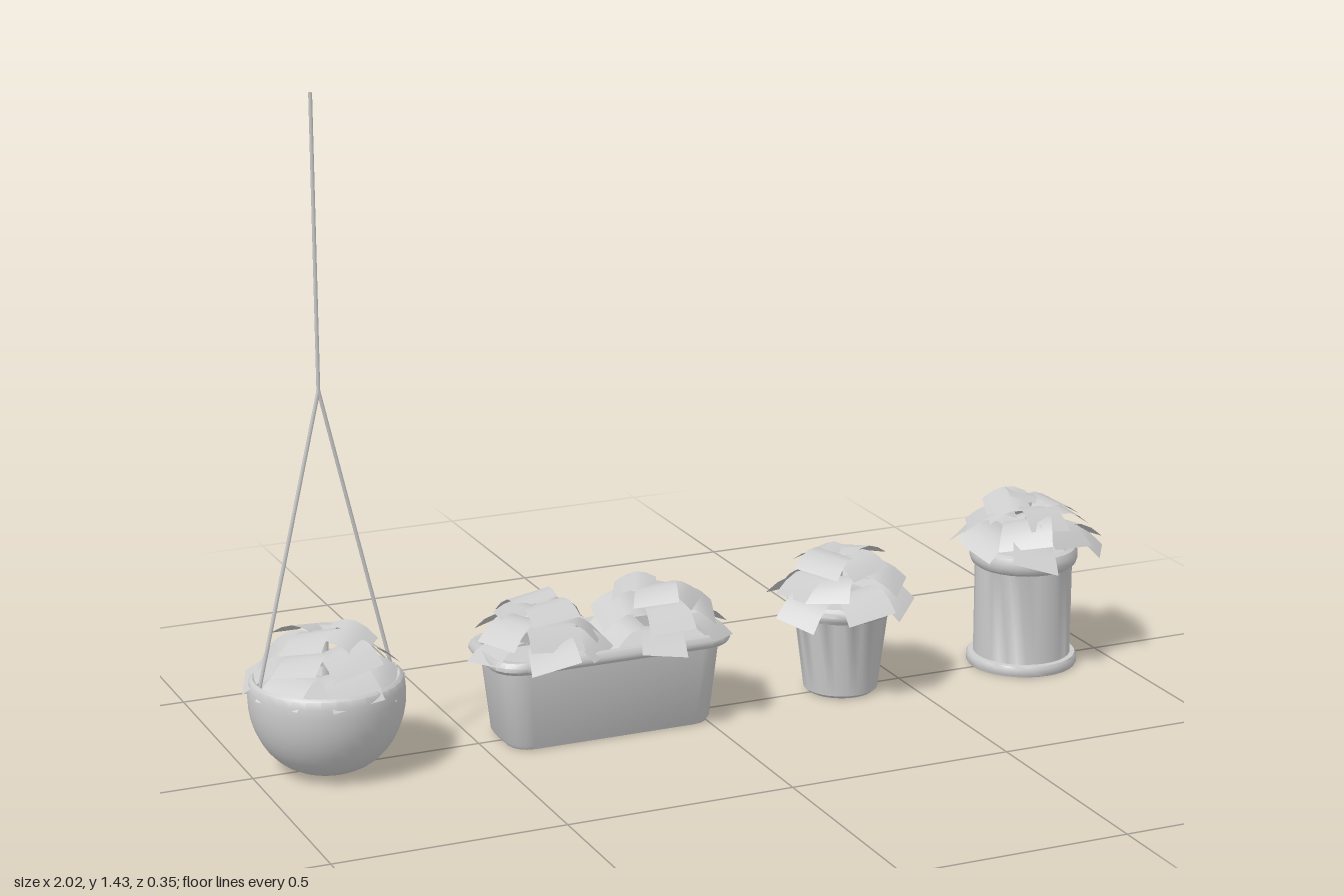
import * as THREE from 'three';
import { toCreasedNormals } from 'three/addons/utils/BufferGeometryUtils.js';

const clay = new THREE.MeshStandardMaterial({ color: 0xcccccc, side: THREE.DoubleSide });
clay.name = 'light grey';

function add(parent, name, geometry, x = 0, y = 0, z = 0) {
  const mesh = new THREE.Mesh(geometry, clay);
  mesh.name = name;
  mesh.position.set(x, y, z);
  parent.add(mesh);
  return mesh;
}

// Small seeded generator, returns -1..1
function seeded(seed) {
  let s = seed * 7919 + 17;
  return () => {
    s = (s * 16807) % 2147483647;
    return (s / 2147483647) * 2 - 1;
  };
}

function lathe(points) {
  const profile = points.map(([r, y]) => new THREE.Vector2(r, y));
  return toCreasedNormals(new THREE.LatheGeometry(profile, 32), 0.7);
}

// Rounded rectangle sections [halfX, halfZ, cornerRadius, y], joined in loops
function loft(sections) {
  const positions = [], index = [], steps = 4, ring = 4 * (steps + 1);
  for (const [hx, hz, r, y] of sections) {
    for (let c = 0; c < 4; c++) {
      const sx = c === 0 || c === 3 ? 1 : -1, sz = c < 2 ? 1 : -1;
      for (let k = 0; k <= steps; k++) {
        const a = (c + k / steps) * Math.PI / 2;
        positions.push(sx * (hx - r) + r * Math.cos(a), y, sz * (hz - r) + r * Math.sin(a));
      }
    }
  }
  for (let i = 0; i < sections.length - 1; i++) {
    for (let j = 0; j < ring; j++) {
      const a = i * ring + j, b = i * ring + (j + 1) % ring;
      index.push(a, a + ring, b, b, a + ring, b + ring);
    }
  }
  const g = new THREE.BufferGeometry();
  g.setAttribute('position', new THREE.Float32BufferAttribute(positions, 3));
  g.setIndex(index);
  return toCreasedNormals(g, 0.7);
}

// Square leaf that rises from the stem and curls down at the tip
function leafGeometry(start, length, width, arch, droop, roll) {
  const g = new THREE.PlaneGeometry(1, 1, 1, 4);
  const p = g.attributes.position;
  for (let i = 0; i < p.count; i++) {
    const u = p.getX(i), v = 0.5 - p.getY(i);
    const y = arch * Math.sin(v * Math.PI) - droop * v * v + u * roll;
    p.setXYZ(i, u * width * (0.88 + 0.2 * v), y, start + v * length);
  }
  g.computeVertexNormals();
  return g;
}

// Three tiers of leaves around a short stem
function plant(parent, name, x, y, reach, seed, height = 0.11) {
  const group = new THREE.Group();
  group.name = name;
  group.position.set(x, y, 0);
  parent.add(group);
  const rand = seeded(seed);
  add(group, 'stem', new THREE.CylinderGeometry(0.006, 0.008, height * 0.9, 6), 0, height * 0.4, 0);
  const tiers = [
    { count: 6, start: 0.05, end: 1, y: 0.22, droop: 0.035 },
    { count: 5, start: 0.03, end: 0.85, y: 0.55, droop: 0.03 },
    { count: 4, start: 0.0, end: 0.6, y: 0.84, droop: 0.022 },
  ];
  tiers.forEach((t, k) => {
    for (let i = 0; i < t.count; i++) {
      const length = reach * t.end * (1 + 0.06 * rand()) - t.start;
      const g = leafGeometry(t.start, length, 0.1 + 0.012 * rand(), 0.014, t.droop + 0.01 * rand(), 0.03 * rand());
      const leaf = add(group, 'leaf', g, 0, height * t.y + 0.01 * rand(), 0);
      leaf.rotation.y = (i + 0.2 * rand()) / t.count * Math.PI * 2 + k * 0.6 + seed;
    }
  });
}

function soil(parent, radius, y) {
  add(parent, 'soil', new THREE.CircleGeometry(radius, 32).rotateX(-Math.PI / 2), 0, y, 0);
}

// Cord between two points
function cord(parent, name, from, to) {
  const path = new THREE.LineCurve3(new THREE.Vector3(...from), new THREE.Vector3(...to));
  add(parent, name, new THREE.TubeGeometry(path, 1, 0.004, 6), 0, 0, 0);
}

function place(root, name, x) {
  const group = new THREE.Group();
  group.name = name;
  group.position.x = x;
  root.add(group);
  return group;
}

export function createModel() {
  const root = new THREE.Group();
  root.name = 'pottedPlants';

  // Hanging bowl with cords
  const hanging = place(root, 'hangingPlanter', -0.835);
  const bowl = [[0, 0], [0.035, 0.001]];
  for (let i = 1; i <= 10; i++) {
    const a = i / 10 * Math.PI / 2;
    bowl.push([0.035 + 0.13 * Math.sin(a), 0.165 - 0.164 * Math.cos(a)]);
  }
  bowl.push([0.164, 0.185], [0.16, 0.2], [0.153, 0.205], [0.147, 0.2], [0.147, 0.165]);
  add(hanging, 'bowl', lathe(bowl));
  soil(hanging, 0.15, 0.17);
  for (const s of [-1, 1]) cord(hanging, 'sideCord', [s * 0.148, 0.18, 0], [0, 0.815, 0]);
  cord(hanging, 'topCord', [0, 0.812, 0], [0, 1.43, 0]);
  plant(hanging, 'hangingPlant', 0, 0.2, 0.165, 1);

  // Long trough with a rolled rim
  const trough = place(root, 'trough', -0.22);
  add(trough, 'troughBody', loft([
    [0.01, 0.01, 0.005, 0.001], [0.215, 0.07, 0.035, 0.001], [0.228, 0.083, 0.045, 0.001],
    [0.234, 0.087, 0.048, 0.01], [0.252, 0.1, 0.052, 0.18],
    [0.268, 0.113, 0.06, 0.18], [0.274, 0.119, 0.062, 0.188], [0.274, 0.119, 0.062, 0.197],
    [0.268, 0.113, 0.06, 0.206], [0.255, 0.1, 0.05, 0.206], [0.247, 0.092, 0.045, 0.199],
    [0.245, 0.09, 0.044, 0.17], [0.01, 0.01, 0.005, 0.17],
  ]));
  plant(trough, 'troughPlantRight', -0.14, 0.2, 0.155, 2);
  plant(trough, 'troughPlantLeft', 0.13, 0.2, 0.155, 3);

  // Small tapered pot
  const small = place(root, 'smallPot', 0.355);
  add(small, 'taperedPot', lathe([
    [0, 0.001], [0.074, 0.001], [0.082, 0.008], [0.104, 0.183], [0.112, 0.183], [0.118, 0.19],
    [0.12, 0.2], [0.118, 0.21], [0.11, 0.217], [0.102, 0.215], [0.098, 0.205], [0.097, 0.185],
  ]));
  soil(small, 0.1, 0.19);
  plant(small, 'smallPlant', -0.005, 0.21, 0.155, 4);

  // Straight pot with a rounded rim and a foot
  const tall = place(root, 'tallPot', 0.81);
  add(tall, 'straightPot', lathe([
    [0, 0], [0.122, 0], [0.124, 0.004], [0.124, 0.018], [0.12, 0.024], [0.109, 0.025],
    [0.109, 0.232], [0.117, 0.238], [0.121, 0.25], [0.121, 0.262], [0.116, 0.273],
    [0.107, 0.277], [0.1, 0.272], [0.097, 0.24],
  ]));
  soil(tall, 0.1, 0.25);
  plant(tall, 'tallPlant', 0.01, 0.277, 0.17, 5);

  return root;
}
